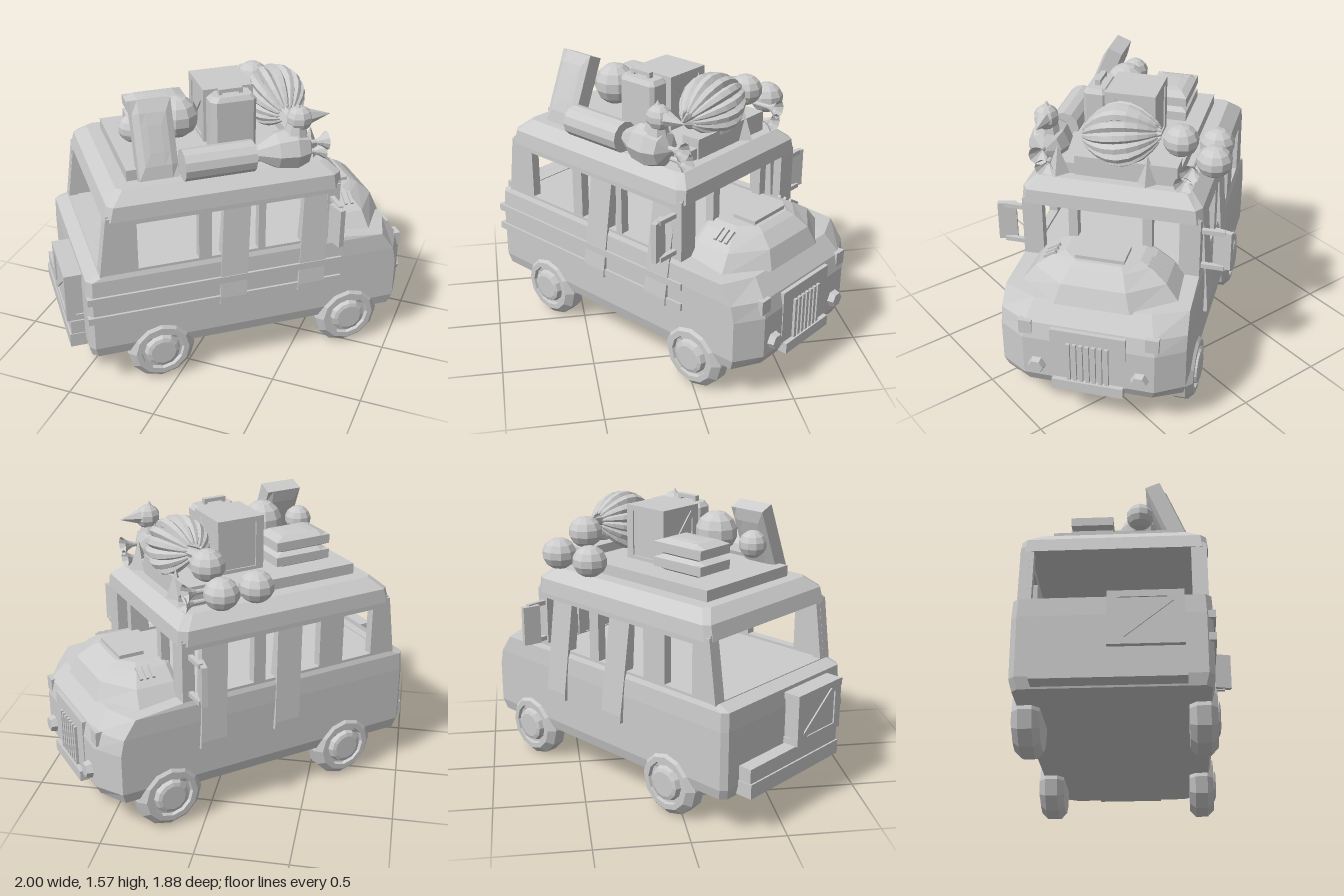
import * as THREE from 'three';

// Local axes: +x is the bus's forward direction, +z its right side.
const mat = new THREE.MeshStandardMaterial({ color: 0xcccccc, flatShading: true, side: THREE.DoubleSide });

export function createModel() {
  const model = new THREE.Group();
  const bus = new THREE.Group();
  bus.name = 'bus';
  bus.rotation.y = 0.672;
  model.add(bus);

  const add = (name, geo, x = 0, y = 0, z = 0, parent = bus) => {
    const m = new THREE.Mesh(geo, mat);
    m.name = name;
    m.position.set(x, y, z);
    parent.add(m);
    return m;
  };
  const box = (name, w, h, d, x, y, z) => add(name, new THREE.BoxGeometry(w, h, d), x, y, z);
  // box given by its limits
  const span = (name, x0, x1, y0, y1, z0, z1) =>
    box(name, x1 - x0, y1 - y0, z1 - z0, (x0 + x1) / 2, (y0 + y1) / 2, (z0 + z1) / 2);

  // skin horizontal rings [y, [[x, z], ...]] from bottom to top, with caps
  const loft = (rings) => {
    const pos = [];
    const put = (...pts) => pts.forEach((p) => pos.push(...p));
    const loops = rings.map(([y, pts]) => pts.map(([x, z]) => [x, y, z]));
    const n = loops[0].length;
    for (let i = 0; i < n; i++) {
      const j = (i + 1) % n;
      for (let k = 0; k + 1 < loops.length; k++) {
        const a = loops[k], b = loops[k + 1];
        put(a[i], b[i], a[j], a[j], b[i], b[j]);
      }
      const lo = loops[0], hi = loops[loops.length - 1];
      if (i > 0 && i < n - 1) put(lo[0], lo[i], lo[j], hi[0], hi[j], hi[i]);
    }
    const g = new THREE.BufferGeometry();
    g.setAttribute('position', new THREE.Float32BufferAttribute(pos, 3));
    g.computeVertexNormals();
    return g;
  };
  const plan = (rear, shoulder, front, w, wf) => {
    const half = [[front, wf], [shoulder, w], [rear + 0.03, w], [rear, w - 0.03]];
    return [...half, ...half.map(([x, z]) => [x, -z]).reverse()];
  };

  // lower body, bonnet and roof
  add('lowerBody', loft([
    [0.21, plan(-0.87, 0.86, 0.94, 0.48, 0.33)],
    [0.27, plan(-0.885, 0.88, 0.97, 0.495, 0.35)],
    [0.5, plan(-0.885, 0.88, 0.97, 0.495, 0.35)],
    [0.59, plan(-0.885, 0.86, 0.95, 0.495, 0.34)],
    [0.69, plan(-0.88, 0.79, 0.87, 0.49, 0.31)],
    [0.715, plan(-0.81, 0.5, 0.52, 0.48, 0.4)]]));
  add('bonnet', loft([
    [0.68, plan(0.48, 0.74, 0.89, 0.43, 0.2)],
    [0.78, plan(0.48, 0.72, 0.85, 0.35, 0.17)],
    [0.84, plan(0.48, 0.68, 0.78, 0.26, 0.14)],
    [0.86, plan(0.48, 0.66, 0.74, 0.2, 0.12)]]));
  box('bonnetHatch', 0.14, 0.03, 0.26, 0.65, 0.865, 0);
  add('roof', loft([
    [1.03, plan(-0.765, 0.49, 0.53, 0.487, 0.46)],
    [1.11, plan(-0.745, 0.48, 0.525, 0.48, 0.45)],
    [1.17, plan(-0.68, 0.42, 0.46, 0.41, 0.39)]]));

  // cabin walls with window openings
  const wall = (outline, holes, depth) => {
    const toPts = (a) => a.map(([x, y]) => new THREE.Vector2(x, y));
    const s = new THREE.Shape(toPts(outline));
    holes.forEach(([a, b, c, d]) => s.holes.push(new THREE.Path(toPts([[a, c], [a, d], [b, d], [b, c]]))));
    return new THREE.ExtrudeGeometry(s, { depth, bevelEnabled: false });
  };
  const windowSpans = { right: [[-0.6, -0.27], [-0.2, 0.06], [0.1, 0.45]], left: [[-0.65, -0.46], [-0.31, 0.03], [0.1, 0.45]] };
  for (const s of [1, -1]) {
    add('sideWall', wall([[-0.81, 0.68], [0.52, 0.68], [0.52, 1.05], [-0.76, 1.05]],
      windowSpans[s > 0 ? 'right' : 'left'].map(([a, b]) => [a, b, 0.73, 1.0]), 0.05), 0, 0, s > 0 ? 0.43 : -0.48);
    // panels over the window pillars, reaching down the side
    for (const x of [-0.09, 0.36]) {
      const g = wall([[0.43, 1.01], [0.43, 0.43], [0.515, 0.43], [0.515, 0.47], [0.47, 1.01]], [], 0.15);
      g.translate(0, 0, -0.075);
      g.rotateY(-Math.PI / 2);
      if (s < 0) g.rotateY(Math.PI);
      const p = g.attributes.position;
      for (let i = 0; i < p.count; i++) p.setX(i, p.getX(i) + (p.getY(i) - 0.43) * s * 0.06);
      add('doorPanel', g, x, 0, 0);
    }
    // mirrors
    const mirror = box('mirror', 0.03, 0.22, 0.1, 0.46, 0.865, s * 0.59);
    mirror.rotation.y = s * 0.25;
    for (const y of [0.76, 0.97]) box('mirrorArm', 0.025, 0.025, 0.14, 0.475, y, s * 0.53);
    // bonnet vents
    for (let i = -1; i <= 1; i++) {
      const v = box('bonnetVent', 0.016, 0.02, 0.08, 0.64 + i * 0.035, 0.83, s * 0.28);
      v.rotation.x = s * 0.55;
    }
    // lamps
    const lamp = add('headlight', new THREE.CylinderGeometry(0.04, 0.05, 0.04, 6), 0.985, 0.34, s * 0.275);
    lamp.rotation.z = -Math.PI / 2;
    box('indicator', 0.06, 0.08, 0.07, 0.935, 0.56, s * 0.335);
    // windscreen pillars
    span('windscreenPillar', 0.47, 0.52, 0.7, 1.05, s * 0.2 - 0.025, s * 0.2 + 0.025);
  }
  const endWall = [[-0.47, 0.68], [0.47, 0.68], [0.47, 1.06], [-0.47, 1.06]];
  const wind = wall(endWall, [[-0.37, 0.37, 0.72, 1.03]], 0.05);
  wind.rotateY(Math.PI / 2);
  add('windscreenFrame', wind, 0.47);
  const rear = wall(endWall, [[-0.4, 0.41, 0.72, 1.03]], 0.05);
  rear.rotateY(Math.PI / 2);
  const rp = rear.attributes.position;
  for (let i = 0; i < rp.count; i++) rp.setX(i, rp.getX(i) + (rp.getY(i) - 0.68) * 0.14);
  add('rearFrame', rear, -0.81);

  // nose: panel, grille and bumper
  span('nosePanel', 0.93, 0.975, 0.27, 0.58, -0.2, 0.2);
  for (let i = -3; i <= 3; i++) span('grilleBar', 0.96, 0.99, 0.28, 0.51, i * 0.034 - 0.01, i * 0.034 + 0.01);
  span('frontBumper', 0.93, 1.0, 0.22, 0.28, -0.19, 0.19);

  // tail: step and strapped crate
  span('rearStep', -0.96, -0.84, 0.22, 0.38, -0.38, 0.36);
  span('stepLip', -0.97, -0.84, 0.22, 0.3, -0.385, 0.365);
  const crate = (name, x0, x1, y0, y1, z0, z1, t) => {
    span(name, x0, x1, y0, y1, z0, z1);
    const h = y1 - y0, cy = (y0 + y1) / 2, e = 0.008;
    for (const y of [y0 + t / 2, y1 - t / 2])
      box('crateSlat', x1 - x0 + 2 * e, t, z1 - z0 + 2 * e, (x0 + x1) / 2, y, (z0 + z1) / 2);
    for (const x of [x0 + t / 2, x1 - t / 2]) for (const z of [z0 + t / 2, z1 - t / 2])
      box('cratePost', t + 2 * e, h, t + 2 * e, x, cy, z);
    for (const x of [x0, x1]) {
      const d = box('crateBrace', 2 * e, Math.hypot(h, z1 - z0) - 2 * t, t, x, cy, (z0 + z1) / 2);
      d.rotation.x = Math.atan2(z1 - z0, h);
    }
  };
  crate('rearCrate', -0.97, -0.82, 0.385, 0.67, -0.01, 0.35, 0.035);

  // rails on the right side only
  for (const y of [0.46, 0.58]) span('sideRail', -0.885, 0.54, y - 0.02, y + 0.02, 0.47, 0.508);

  // wheels
  const tyre = [[0, -0.07], [0.15, -0.07], [0.187, -0.035], [0.187, 0.035], [0.15, 0.07], [0.12, 0.07],
    [0.115, 0.05], [0.1, 0.05], [0.09, 0.078], [0.07, 0.085], [0, 0.085]].map((p) => new THREE.Vector2(...p));
  for (const x of [-0.49, 0.605]) for (const s of [1, -1])
    add('wheel', new THREE.LatheGeometry(tyre, 12), x, 0.187, s * 0.44).rotation.x = s * Math.PI / 2;

  // ---- roof load ----
  span('roofPlatform', -0.61, 0.4, 1.14, 1.23, -0.33, 0.33);
  span('frontTray', 0.3, 0.41, 1.14, 1.28, -0.33, 0.22);
  crate('cargoCrate', -0.13, 0.13, 1.22, 1.53, -0.14, 0.12, 0.03);

  const ball = (name, r, x, y, z, sx = 1, sy = 1, sz = 1, seg = 10) => {
    const m = add(name, new THREE.SphereGeometry(r, seg, 7), x, y, z);
    m.scale.set(sx, sy, sz);
    return m;
  };
  // pillow shape: a box grid thinning toward its rim
  const cushion = (w, h, d, thin) => {
    const g = new THREE.BoxGeometry(w, h, d, 6, 2, 6);
    const p = g.attributes.position;
    for (let i = 0; i < p.count; i++) {
      const a = Math.abs(p.getX(i) * 2 / w), b = Math.abs(p.getZ(i) * 2 / d);
      p.setY(i, p.getY(i) * (1 - thin * Math.max(a, b) ** 4));
    }
    return g;
  };
  for (const y of [1.285, 1.37]) add('sack', cushion(0.33, 0.1, 0.23, 0.5), -0.33, y, -0.135);
  const suitcase = add('suitcase', cushion(0.21, 0.12, 0.41, 0.3), -0.45, 1.365, 0.28);
  suitcase.rotation.x = Math.PI / 2 - 0.39;
  ball('largeBall', 0.115, -0.28, 1.4, 0.12);
  ball('smallBall', 0.075, -0.525, 1.37, 0.13);
  add('bedroll', new THREE.CylinderGeometry(0.085, 0.085, 0.38, 12), -0.14, 1.25, 0.39).rotation.z = Math.PI / 2;

  // jerrycan with a handle
  add('jerrycan', loft([
    [1.2, plan(-0.13, 0.1, 0.12, 0.065, 0.045)],
    [1.5, plan(-0.13, 0.1, 0.12, 0.065, 0.045)],
    [1.525, plan(-0.11, 0.08, 0.1, 0.05, 0.035)]]), 0, 0, 0.19);
  box('canHandle', 0.13, 0.02, 0.03, -0.01, 1.545, 0.19);
  for (const x of [-0.065, 0.045]) box('handlePost', 0.02, 0.04, 0.03, x, 1.53, 0.19);

  // bird
  const body = [[0, -0.19], [0.04, -0.17], [0.1, -0.07], [0.115, 0.03], [0.09, 0.1], [0, 0.14]];
  add('birdBody', new THREE.LatheGeometry(body.map((p) => new THREE.Vector2(...p)), 8), 0.24, 1.265, 0.4)
    .rotation.z = -Math.PI / 2;
  add('birdNeck', new THREE.CylinderGeometry(0.045, 0.085, 0.14, 8), 0.28, 1.35, 0.4);
  ball('birdHead', 0.068, 0.3, 1.43, 0.4, 1.05, 1, 1, 8);
  add('birdBeak', new THREE.ConeGeometry(0.042, 0.12, 6), 0.41, 1.435, 0.4).rotation.z = -Math.PI / 2;
  add('birdCrest', new THREE.ConeGeometry(0.025, 0.04, 6), 0.29, 1.5, 0.4);

  // bunch of long curved fruit, fanned around a crosswise axis
  const bunch = new THREE.Group();
  bunch.name = 'fruitBunch';
  bunch.position.set(0.31, 1.385, -0.01);
  bunch.rotation.x = 0.15;
  bus.add(bunch);
  const pod = () => {
    const g = new THREE.SphereGeometry(1, 6, 10);
    const p = g.attributes.position;
    for (let i = 0; i < p.count; i++) {
      const t = p.getY(i);
      p.setXYZ(i, p.getX(i) * 0.03, 0.04 + 0.105 * (1 - t * t) + p.getZ(i) * 0.03, -t * 0.205);
    }
    g.computeVertexNormals();
    return g;
  };
  for (let i = 0; i < 13; i++) add('fruit', pod(), 0, 0, 0, bunch).rotation.z = (i - 6) * 0.42;

  // melons at the left edge
  for (const [x, y, z] of [[0.305, 1.29, -0.5], [0.09, 1.28, -0.475], [0.29, 1.38, -0.32]])
    ball('melon', 0.095, x, y, z, 1, 0.9);
  // spikes along the front of the load
  for (const z of [0.31, -0.17]) add('spike', new THREE.ConeGeometry(0.06, 0.16, 4), 0.4, 1.25, z);

  // horns facing forward, two per side
  const horn = [[0.012, -0.11], [0.014, 0], [0.028, 0.03], [0.052, 0.06]].map((p) => new THREE.Vector2(...p));
  for (const s of [1, -1]) for (const [y, dz] of [[1.28, 0.03], [1.21, 0]])
    add('horn', new THREE.LatheGeometry(horn, 10), 0.4, y, s * (0.37 + dz)).rotation.z = -Math.PI / 2;

  return model;
}
